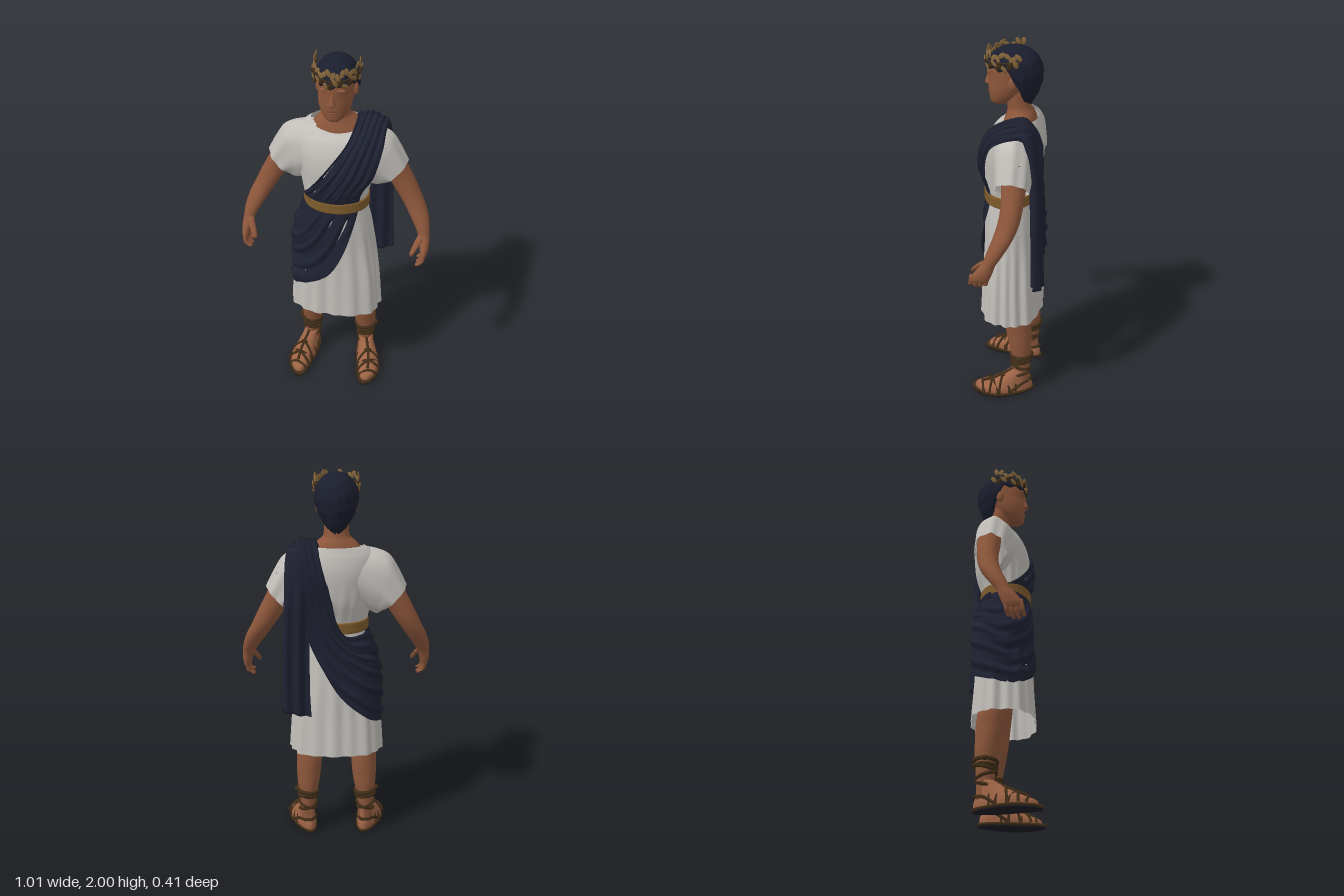
import * as THREE from 'three';

const mat = (name, color, double) => {
  const m = new THREE.MeshStandardMaterial({ color });
  m.name = name;
  if (double) m.side = THREE.DoubleSide;
  return m;
};
const V = (x, y, z) => new THREE.Vector3(x, y, z);
const { smoothstep, lerp } = THREE.MathUtils;

// Skin over rows of points; closed rows wrap round.
function grid(name, rows, material, closed = true) {
  const n = rows[0].length, idx = [];
  for (let j = 0; j < rows.length - 1; j++) {
    for (let i = 0; i < (closed ? n : n - 1); i++) {
      const k = (i + 1) % n, a = j * n + i, b = j * n + k, c = a + n, d = b + n;
      idx.push(a, c, b, b, c, d);
    }
  }
  const geo = new THREE.BufferGeometry().setFromPoints(rows.flat());
  geo.setIndex(idx);
  geo.computeVertexNormals();
  const mesh = new THREE.Mesh(geo, material);
  mesh.name = name;
  return mesh;
}

// Smooth interpolation of sections [y, cx, cz, rx, rz].
function sampler(sections) {
  const c = new THREE.CatmullRomCurve3(sections.map(s => V(s[1], s[0], s[2])), false, 'catmullrom');
  const r = new THREE.CatmullRomCurve3(sections.map(s => V(s[3], s[4], 0)), false, 'catmullrom');
  return t => [c.getPoint(t), r.getPoint(t)];
}

// Stack of horizontal ellipses, with an optional warp of each point.
function stack(name, sections, material, { seg = 28, sub = 5, open = false, warp } = {}) {
  const list = sections[0][0] > sections.at(-1)[0] ? [...sections].reverse() : sections;
  const at = sampler(list), steps = (list.length - 1) * sub, rows = [];
  for (let j = 0; j <= steps; j++) {
    const [c, r] = at(j / steps), row = [];
    for (let i = 0; i < seg; i++) {
      const th = i / seg * Math.PI * 2;
      const p = V(c.x + r.x * Math.cos(th), c.y, c.z + r.y * Math.sin(th));
      if (warp) warp(p, th, c);
      row.push(p);
    }
    rows.push(row);
    if (!open && (j === 0 || j === steps)) {
      const cap = row.map(() => c.clone());
      if (j === 0) rows.unshift(cap); else rows.push(cap);
    }
  }
  return grid(name, rows, material);
}

function tube(name, pts, radius, material, closed = false) {
  const curve = new THREE.CatmullRomCurve3(pts, closed);
  const m = new THREE.Mesh(new THREE.TubeGeometry(curve, pts.length * 5, radius, 6, closed), material);
  m.name = name;
  return m;
}

function blob(name, pos, scale, material) {
  const m = new THREE.Mesh(new THREE.SphereGeometry(1, 16, 10), material);
  m.name = name;
  m.position.set(...pos);
  m.scale.set(...scale);
  return m;
}

// Tunic body sections, hem to neckline.
const BODY = [[.49, 0, .002, .248, .165], [.7, 0, .004, .233, .152], [.9, 0, .005, .213, .145], [1.05, 0, .01, .193, .138],
  [1.17, 0, .015, .166, .127], [1.21, 0, .015, .162, .124], [1.26, 0, .012, .17, .132], [1.34, 0, 0, .185, .146],
  [1.43, 0, -.005, .2, .152], [1.51, 0, -.015, .215, .145], [1.575, 0, -.027, .205, .122], [1.615, 0, -.035, .17, .1],
  [1.635, 0, -.04, .138, .088]];
// Boxy, pleated skirt with gathers above the belt.
const pleat = (th, y) => 1 + .08 * smoothstep(1.0 - y, 0, .35) * Math.sin(2 * th) ** 2
  + .05 * smoothstep(1.2 - y, 0, .5) * (.5 * Math.cos(17 * th + .6 * Math.sin(3 * th)) + .4 * Math.cos(9 * th + 1))
  + .016 * smoothstep(y, 1.22, 1.28) * (1 - smoothstep(y, 1.3, 1.5)) * Math.cos(18 * th);

// Body section at a height, by linear lookup.
function bodyAt(y) {
  let i = 0;
  while (i < BODY.length - 2 && BODY[i + 1][0] < y) i++;
  const t = THREE.MathUtils.clamp((y - BODY[i][0]) / (BODY[i + 1][0] - BODY[i][0]), 0, 1);
  return [2, 3, 4].map(k => lerp(BODY[i][k], BODY[i + 1][k], t));
}

// Sash stations round the body: upper edge, middle, lower edge.
const SASH = [
  [.10, 1.66, -.05, .18, 1.665, -.05, .255, 1.61, -.05], [.07, 1.58, .10, .16, 1.585, .10, .25, 1.55, .07],
  [-.02, 1.45, .15, .10, 1.42, .16, .21, 1.40, .11], [-.10, 1.33, .13, .03, 1.30, .155, .16, 1.30, .11],
  [-.15, 1.25, .07, -.03, 1.20, .145, .13, 1.18, .10], [-.17, 1.22, .02, -.13, 1.02, .14, .07, .95, .155],
  [-.172, 1.20, -.02, -.22, .93, .08, -.03, .76, .165], [-.165, 1.19, -.05, -.24, .90, 0, -.22, .64, .09],
  [-.13, 1.17, -.10, -.22, .95, -.09, -.23, .66, -.06], [-.05, 1.17, -.13, -.13, 1.0, -.15, -.15, .72, -.15],
  [0, 1.25, -.145, -.01, 1.10, -.16, 0, .86, -.16], [.03, 1.38, -.155, .09, 1.27, -.16, .13, 1.10, -.145],
  [.06, 1.53, -.145, .14, 1.50, -.155, .22, 1.42, -.145], [.08, 1.62, -.11, .17, 1.63, -.12, .25, 1.57, -.115]];

function buildSash(material) {
  const curves = [0, 3, 6].map(k => new THREE.CatmullRomCurve3(SASH.map(s => V(s[k], s[k + 1], s[k + 2])), true, 'catmullrom'));
  const rows = [], nu = 140, nv = 56;
  for (let j = 0; j <= nu; j++) {
    const u = j / nu, row = [];
    const across = new THREE.CatmullRomCurve3(curves.map(c => c.getPoint(u)));
    for (let i = 0; i <= nv; i++) {
      const v = i / nv, p = across.getPoint(v);
      let tight = 0;
      if (p.y < 1.6) {                       // rest on the tunic, gathered under the belt
        const [cz, a, b] = bodyAt(p.y), dx = p.x / a, dz = (p.z - cz) / b, q = Math.hypot(dx, dz);
        const want = Math.max(q, pleat(Math.atan2(dz, dx), p.y) + .035);
        tight = p.z > -.06 ? 1 - smoothstep(Math.abs(p.y - 1.205), .03, .09) : 0;
        const k = lerp(want, 1.035, tight) / q;
        p.x *= k;
        p.z = cz + (p.z - cz) * k;
      }
      const out = V(p.x, Math.max(0, p.y - 1.5) * 2, p.z).normalize();
      const edge = Math.pow(Math.abs(2 * v - 1), 12);
      const fold = .006 * (1 + Math.sin(v * 36 + 2.4 * Math.sin(u * 12.566))) + .003 * Math.sin(v * 67 + u * 9) - .003;
      p.addScaledVector(out, (fold - .007 * edge) * (1 - tight));
      row.push(p);
    }
    rows.push(row);
  }
  return grid('sash', rows, material, false);
}

export function createModel() {
  const root = new THREE.Group();
  root.name = 'robedFigure';
  const skin = mat('skin', 0x8c563b), lip = mat('darkSkin', 0x6d3d2b), cloth = mat('tunicCloth', 0xc1beb9, true);
  const navy = mat('navyCloth', 0x1e2131, true), hairMat = mat('hair', 0x1b1e2d, true), gold = mat('beltGold', 0x7e5b2c);
  const leafMat = mat('leafGold', 0x86673b), leather = mat('leather', 0x402d18), soleMat = mat('soleUnderside', 0x1c1d26);
  const footSkin = mat('footSkin', 0x9c6345);
  const add = (...m) => root.add(...m);

  // Tunic, belt and drapery
  add(stack('tunic', BODY, cloth, {
    seg: 180, open: true, warp: (p, th, c) => {
      const k = pleat(th, c.y);
      p.x *= k;
      p.z = c.z + (p.z - c.z) * k;
      p.y -= .035 * Math.max(0, Math.sin(th)) * smoothstep(c.y, 1.56, 1.635);
    }
  }));
  add(stack('belt', [[1.174, .003, .013, .168, .131], [1.179, .003, .013, .173, .137], [1.205, .003, .013, .173, .137],
    [1.23, .003, .013, .173, .137], [1.235, .003, .013, .168, .131]], gold, { seg: 48 }));
  add(buildSash(navy));
  add(stack('hangingDrape', [[1.63, .19, -.09, .06, .03], [1.55, .2, -.125, .062, .028], [1.4, .205, -.148, .062, .024],
    [1.1, .212, -.158, .07, .022], [.85, .215, -.165, .075, .024], [.755, .213, -.168, .08, .026]], navy, {
    seg: 64, warp: (p, th, c) => {
      p.z += .009 * Math.sin((p.x - c.x) * 95) * smoothstep(1.6 - c.y, 0, .4);
      if (c.y < .8) p.y += (p.x - c.x) * .2;
    }
  }));

  // Neck, head and face
  add(stack('neck', [[1.55, 0, -.03, .135, .09], [1.61, 0, -.036, .13, .083], [1.65, 0, -.037, .1, .07],
    [1.68, 0, -.031, .068, .061], [1.73, 0, -.02, .063, .06], [1.79, 0, -.01, .06, .06]], skin));
  add(stack('head', [[1.695, 0, .072, .032, .034], [1.71, 0, .062, .052, .054], [1.74, 0, .044, .072, .076],
    [1.78, 0, .03, .084, .094], [1.83, 0, .014, .088, .11], [1.88, 0, .005, .09, .12], [1.93, 0, 0, .086, .112],
    [1.97, 0, 0, .055, .075]], skin, { seg: 40 }));
  add(stack('nose', [[1.787, 0, .115, .013, .018], [1.798, 0, .118, .021, .025], [1.82, 0, .114, .015, .023],
    [1.865, 0, .11, .01, .014]], skin, { seg: 16 }));
  add(blob('upperLip', [0, 1.76, .12], [.024, .004, .006], lip), blob('lowerLip', [0, 1.751, .117], [.02, .006, .008], skin));
  for (const s of [1, -1]) {
    add(blob('brow', [s * .036, 1.872, .112], [.028, .007, .012], skin));
    add(blob('eye', [s * .036, 1.854, .112], [.014, .003, .005], lip));
    add(blob('ear', [s * .092, 1.825, -.012], [.014, .034, .022], skin));
  }

  // Short tousled hair, low at the nape and high on the brow
  const hairRows = [];
  for (let j = -1; j <= 24; j++) {
    const row = [], v = Math.max(0, j) / 24;
    for (let i = 0; i < 72; i++) {
      const th = i / 72 * Math.PI * 2, s = Math.sin(th);
      const low = 1.7 + .195 * smoothstep(s, -.8, .2) + .008 * Math.sin(11 * th);
      const y = lerp(low, 1.995, Math.sin(v * Math.PI / 2)), t = y - 1.87, down = Math.min(0, t / .17) ** 2;
      let r = t > 0 ? Math.sqrt(Math.max(0, 1 - (t / .125) ** 2)) : 1;
      r *= 1 + .028 * Math.sin(9 * th + 40 * y) * Math.sin(7 * th - 55 * y);
      if (j < 0) r *= .75;
      row.push(V(.112 * r * (1 - .65 * down) * Math.cos(th), y, -.006 + .141 * r * (1 - .4 * down) * s));
    }
    hairRows.push(row);
  }
  add(grid('hair', hairRows, hairMat));

  // Leaf wreath, open at the back
  const wreath = new THREE.Group();
  wreath.name = 'wreath';
  const band = [];
  for (let i = 0; i <= 16; i++) {
    const a = (i / 16 - .5) * 3.8;
    band.push(V(.112 * Math.sin(a), 1.925 + .012 * (1 - Math.cos(a)), .14 * Math.cos(a) - .006));
  }
  wreath.add(tube('wreathBand', band, .005, leather));
  const leafGeo = new THREE.SphereGeometry(1, 6, 4);
  for (let i = 0; i < 38; i++) {
    const upper = i % 2, a = (i / 37 - .5) * 3.7, f = upper ? .97 : 1.03;
    const leaf = new THREE.Mesh(leafGeo, i % 4 === 2 ? leather : leafMat);
    leaf.name = 'leaf';
    leaf.scale.set(.013, .023, .004);
    leaf.position.set(.114 * f * Math.sin(a), (upper ? 1.955 : 1.91) + .012 * Math.sin(i * 2.3) + .012 * (1 - Math.cos(a)),
      .141 * f * Math.cos(a) - .006);
    leaf.rotation.set(upper ? -.1 : .15, a, (i % 4 < 2 ? .6 : -.6) + .4 * Math.sin(i * 5), 'YXZ');
    wreath.add(leaf);
  }
  add(wreath);

  for (const s of [1, -1]) {
    const side = s > 0 ? 'left' : 'right';
    const flip = list => list.map(([y, x, ...r]) => [y, x * s, ...r]);

    // Sleeve from slanted rings: top x, y, bottom x, y, depth, centre z
    const rings = [[.10, 1.625, .10, 1.34, .12, -.02], [.20, 1.61, .165, 1.29, .108, -.03], [.27, 1.578, .20, 1.275, .097, -.038],
      [.315, 1.51, .215, 1.275, .09, -.042], [.36, 1.42, .235, 1.29, .083, -.045]];
    const top = new THREE.CatmullRomCurve3(rings.map(r => V(r[0], r[1], r[4])), false, 'catmullrom');
    const low = new THREE.CatmullRomCurve3(rings.map(r => V(r[2], r[3], r[5])), false, 'catmullrom');
    const rows = [];
    for (let j = 0; j <= 24; j++) {
      const T = top.getPoint(j / 24), B = low.getPoint(j / 24), row = [];
      for (let i = 0; i < 56; i++) {
        const th = i / 56 * Math.PI * 2, k = (1 + .05 * j / 24 * Math.cos(8 * th + 1)) * Math.cos(th) / 2;
        row.push(V(s * ((T.x + B.x) / 2 + (T.x - B.x) * k), (T.y + B.y) / 2 + (T.y - B.y) * k,
          B.z + T.z * Math.sin(th) * s * (1 + .06 * j / 24 * Math.cos(7 * th))));
      }
      rows.push(row);
    }
    add(grid(side + 'Sleeve', rows, cloth));

    // Arm, hand and fingers
    add(stack(side + 'Arm', flip([[1.5, .25, -.05, .065, .06], [1.4, .28, -.055, .073, .062], [1.3, .335, -.055, .068, .056],
      [1.22, .38, -.045, .06, .054], [1.15, .42, -.022, .054, .05], [1.08, .453, .012, .042, .042], [1.03, .469, .037, .031, .035],
      [.99, .477, .06, .027, .044], [.95, .48, .08, .021, .048], [.925, .477, .085, .013, .042]]), skin));
    for (let i = 0; i < 4; i++) {
      const tip = .872 + .012 * Math.abs(i - 1.5), z = .046 + .025 * i;
      add(stack(side + 'Finger', flip([[.965, .479, z, .013, .013], [.915, .474, z + .008, .0125, .0125],
        [tip + .008, .453, z + .014, .011, .011], [tip, .449, z + .015, .006, .006]]), skin, { seg: 10, sub: 3 }));
    }
    add(stack(side + 'Thumb', flip([[1.035, .46, .06, .018, .02], [1, .441, .095, .017, .017], [.965, .423, .123, .013, .014],
      [.948, .418, .13, .007, .007]]), skin, { seg: 12, sub: 3 }));

    // Leg
    add(stack(side + 'Leg', flip([[.7, .11, -.02, .07, .07], [.58, .13, -.035, .07, .07], [.5, .147, -.047, .071, .071],
      [.42, .15, -.056, .068, .071], [.36, .153, -.062, .066, .066], [.29, .156, -.07, .059, .06], [.2, .16, -.075, .044, .048],
      [.13, .16, -.075, .039, .045], [.06, .16, -.075, .038, .045]]), skin));

    // Foot and laced sandal, turned outward with the toes curving in
    const foot = new THREE.Group();
    foot.name = side + 'Foot';
    foot.position.set(s * .16, 0, -.075);
    foot.rotation.y = s * .3;
    const shape = p => {
      p.x *= 1 + .9 * (p.z - .08);
      p.x -= s * 1.6 * Math.max(0, p.z - .11) ** 2;
      return p;
    };
    foot.add(stack('footBody', [[.016, 0, .1, .06, .162], [.045, 0, .094, .06, .154], [.075, 0, .065, .054, .113],
      [.11, 0, .033, .047, .078], [.15, 0, .003, .041, .048]], footSkin, { warp: shape }));
    foot.add(stack('sole', [[.006, 0, .104, .068, .174], [.02, 0, .104, .068, .174]], leather, { seg: 40, sub: 1, warp: shape }));
    foot.add(stack('soleUnderside', [[0, 0, .104, .067, .172], [.0065, 0, .104, .067, .172]], soleMat,
      { seg: 40, sub: 1, warp: shape }));
    for (const [z, h, w, skew] of [[.22, .06, .05, 0], [.165, .086, .063, .025], [.165, .086, .063, -.025],
      [.105, .115, .063, .03], [.105, .115, .063, -.03], [.04, .145, .054, 0]]) {
      const pts = [-1, -.82, 0, .82, 1].map((k, i) => shape(V(k * w, [.018, .55 * h, h, .55 * h, .018][i], z + skew * k)));
      foot.add(tube('footStrap', pts, .0075, leather));
    }
    foot.add(tube('instepStrap', [V(0, .066, .215), V(0, .09, .16), V(0, .117, .105), V(0, .152, .045)].map(shape), .008, leather));
    foot.add(tube('heelStrap', [V(-.058, .02, .08), V(-.046, .065, .01), V(0, .08, -.055), V(.046, .065, .01), V(.058, .02, .08)],
      .009, leather));
    for (const dir of [1, -1]) {
      const lace = [];
      for (let i = 0; i <= 20; i++) {
        const t = i / 20, a = Math.PI / 2 + dir * t * Math.PI * 3, r = .042 + .012 * t * t;
        lace.push(V(r * Math.cos(a), .11 + .13 * t, (r + .005) * Math.sin(a) + .004 * (1 - t)));
      }
      foot.add(tube('ankleLace', lace, .009, leather));
    }
    for (const [y, r] of [[.248, .055], [.222, .05]]) {
      const cuff = [];
      for (let i = 0; i < 12; i++) {
        const a = i * Math.PI / 6;
        cuff.push(V(r * Math.cos(a), y + .008 * Math.cos(a) * s, (r + .002) * Math.sin(a)));
      }
      foot.add(tube('laceCuff', cuff, .011, leather, true));
    }
    foot.add(blob('laceKnot', [s * .056, .255, .02], [.014, .013, .017], leather));
    add(foot);
  }
  return root;
}
